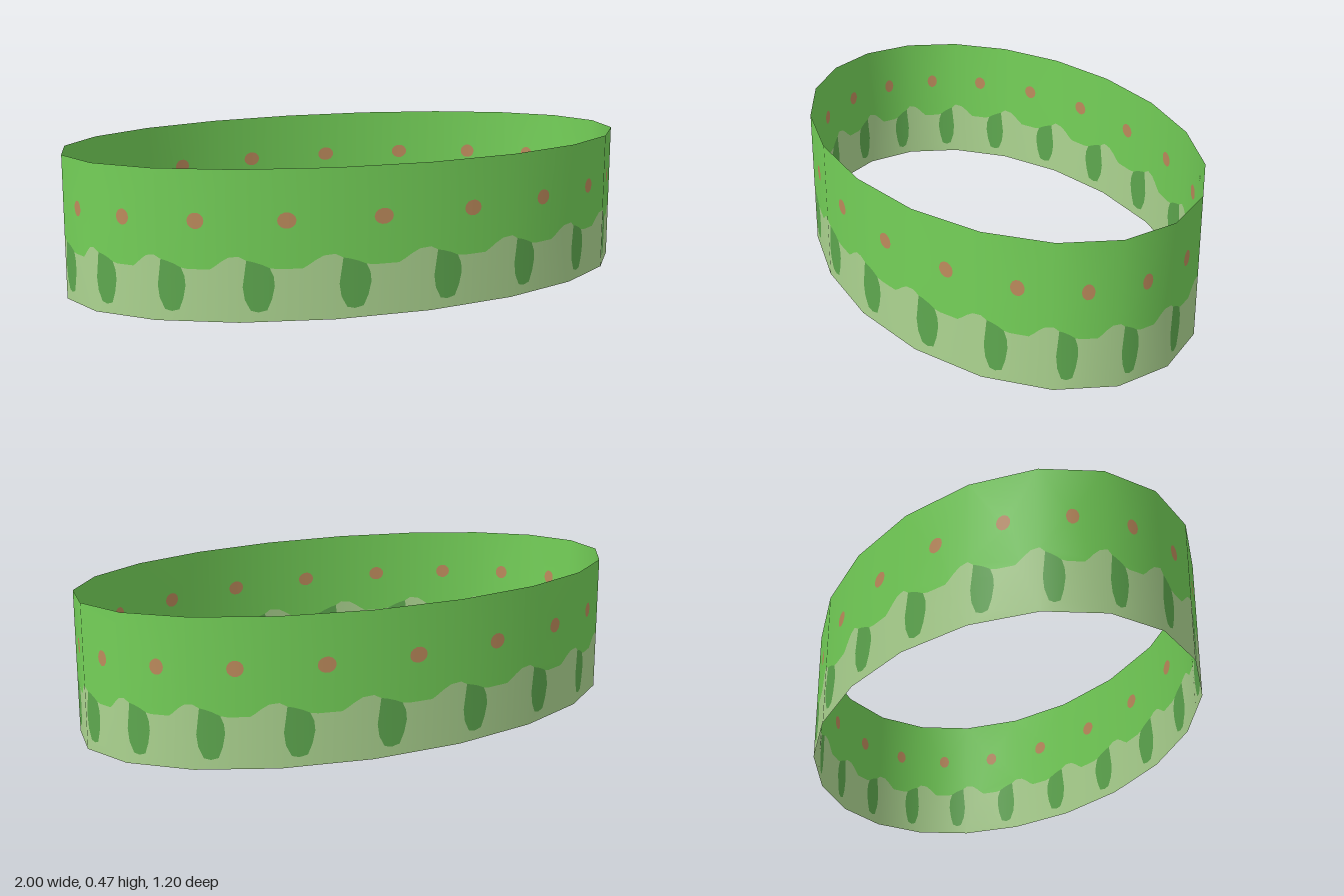
import * as THREE from 'three';
import { mergeGeometries } from 'three/addons/utils/BufferGeometryUtils.js';

const PANELS = 20, RX = 1, RZ = 0.6, HEIGHT = 0.467;

const paint = (name, color) => {
  const m = new THREE.MeshStandardMaterial({ color, side: THREE.DoubleSide });
  m.name = name;
  return m;
};

// Panel outlines: u runs 0..1 across one panel, y is height
const toPoints = (list) => list.map(([u, y]) => new THREE.Vector2(u, y));
const dropTop = [[0.08, 0.191], [0.15, 0.186], [0.24, 0.177], [0.32, 0.166]];
const dropSides = [[0.36, 0.14], [0.37, 0.11], [0.34, 0.07], [0.29, 0.036], [0.2, 0.03],
  [0.12, 0.036], [0.06, 0.07], [0.04, 0.11], [0.06, 0.15]];
const hillRight = [[0.4, 0.162], [0.66, 0.162], [0.72, 0.172], [0.79, 0.186], [0.88, 0.2], [1, 0.204]];

const dot = [];
for (let i = 0; i < 14; i++) {
  const a = (i / 14) * Math.PI * 2;
  dot.push([0.5 + 0.1 * Math.cos(a), 0.31 + 0.025 * Math.sin(a)]);
}

// Bend a panel shape around the oval, with normals blended across each flat panel
function wrap(shape) {
  const flat = new THREE.ShapeGeometry(shape);
  const copies = [];
  for (let k = 0; k < PANELS; k++) {
    const g = flat.clone();
    const [a, b] = [k, k + 1].map((i) => {
      const t = (i / PANELS) * Math.PI * 2;
      return {
        p: new THREE.Vector3(RX * Math.sin(t), 0, RZ * Math.cos(t)),
        n: new THREE.Vector3(Math.sin(t) / RX, 0, Math.cos(t) / RZ).normalize(),
      };
    });
    const pos = g.attributes.position, nor = g.attributes.normal;
    for (let i = 0; i < pos.count; i++) {
      const u = pos.getX(i), y = pos.getY(i);
      const p = a.p.clone().lerp(b.p, u);
      const n = a.n.clone().lerp(b.n, u).normalize();
      pos.setXYZ(i, p.x, y, p.z);
      nor.setXYZ(i, n.x, n.y, n.z);
    }
    copies.push(g);
  }
  return mergeGeometries(copies);
}

export function createModel() {
  const group = new THREE.Group();
  group.name = 'ovalBand';
  const add = (name, shape, material) => {
    const mesh = new THREE.Mesh(wrap(shape), material);
    mesh.name = name;
    group.add(mesh);
  };

  // Upper field with openings for the dots
  const upper = new THREE.Shape(toPoints(
    [[0, HEIGHT], [0, 0.204], ...dropTop, ...hillRight, [1, HEIGHT]]));
  upper.holes.push(new THREE.Path(toPoints(dot)));
  add('upperField', upper, paint('leaf green', 0x74d058));

  // Pale hills along the bottom, notched around the bushes
  const lower = new THREE.Shape(toPoints(
    [[0, 0], [1, 0], ...[...hillRight].reverse(), dropTop[3], ...dropSides, dropTop[0], [0, 0.204]]));
  add('lowerHills', lower, paint('pale green', 0xacd490));

  // Bushes and dots fill their openings
  add('bushes', new THREE.Shape(toPoints([...dropTop, ...dropSides])), paint('dark green', 0x5ea84f));
  add('dots', new THREE.Shape(toPoints(dot)), paint('clay orange', 0xbd8b5c));
  return group;
}
